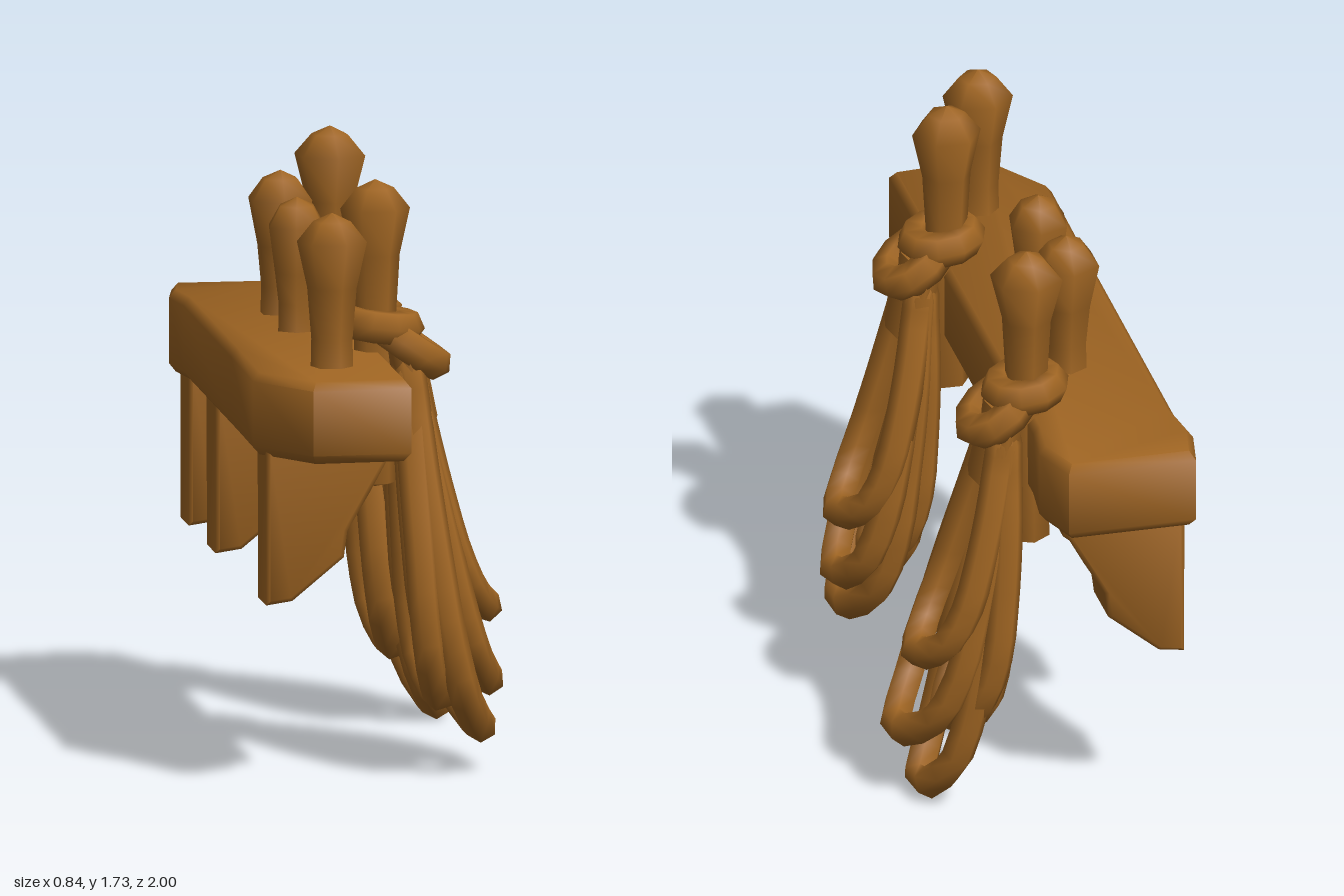
import * as THREE from 'three';
import { toCreasedNormals } from 'three/addons/utils/BufferGeometryUtils.js';

const wood = new THREE.MeshStandardMaterial({ color: 0x9e6422 });
wood.name = 'brown wood';

function add(parent, name, geometry, x = 0, y = 0, z = 0) {
  const mesh = new THREE.Mesh(geometry, wood);
  mesh.name = name;
  mesh.position.set(x, y, z);
  parent.add(mesh);
  return mesh;
}

function polygon(points) {
  return new THREE.Shape(points.map(([x, y]) => new THREE.Vector2(x, y)));
}

// Long rail with worn, cut-off corners
function makeRail(group) {
  const outline = polygon([
    [-0.27, -0.98], [-0.01, -0.96], [-0.01, 0.72], [0.005, 0.85], [-0.04, 0.98],
    [-0.39, 0.98], [-0.415, 0.85], [-0.395, 0.7], [-0.4, -0.3], [-0.405, -0.77],
  ]);
  const geo = new THREE.ExtrudeGeometry(outline, {
    depth: 0.19, bevelEnabled: true, bevelSize: 0.02, bevelThickness: 0.025, bevelSegments: 1,
  });
  geo.rotateX(-Math.PI / 2);
  add(group, 'rail', toCreasedNormals(geo, 0.9), 0, 1.025, 0);
}

// Curved support under the rail, spanning zMin to zMax
function makeBracket(group, zMin, zMax) {
  const side = polygon([
    [-0.38, 1.02], [-0.38, 0.575], [-0.32, 0.585], [-0.175, 0.705],
    [-0.165, 0.78], [-0.1, 0.89], [-0.04, 1.0], [-0.04, 1.02],
  ]);
  const bevel = 0.012;
  const geo = new THREE.ExtrudeGeometry(side, {
    depth: zMax - zMin - 2 * bevel, bevelEnabled: true, bevelSize: bevel, bevelThickness: bevel, bevelSegments: 1,
  });
  add(group, 'bracket', toCreasedNormals(geo, 0.9), 0, 0, zMin + bevel);
}

// Turned pin with a flared, faceted head
function makePin(group, x, z, top, headRadius, bottom, turn) {
  const profile = [
    [0, bottom], [0.068, bottom + 0.015], [0.062, 1.23], [0.06, 1.32],
    [0.072, top - 0.22], [headRadius, top - 0.085], [0.055, top - 0.025], [0, top],
  ].map(([r, y]) => new THREE.Vector2(r, y));
  const pin = add(group, 'pin', new THREE.LatheGeometry(profile, 6), x, 0, z);
  pin.rotation.y = turn;
}

// One hanging loop of rope: its sides sit nearer the rail than its bottom by "pull"
function makeLoop(group, pinZ, [bottom, zMax, zMin, xBottom, top, pull]) {
  const stations = [[0.03, 0.12], [0.15, 0.34], [0.32, 0.63], [0.55, 0.9], [0.75, 1], [0.91, 0.72]];
  const middle = (zMax + zMin) / 2;
  const half = (zMax - zMin) / 2 - 0.048;
  const at = (down, width, side) => new THREE.Vector3(
    THREE.MathUtils.lerp(0.08, xBottom, down) - pull * width,
    THREE.MathUtils.lerp(top, bottom + 0.048, down),
    THREE.MathUtils.lerp(pinZ, middle, Math.min(1, down * 1.6)) + side * THREE.MathUtils.lerp(0.04, half, width)
  );
  const points = [
    ...stations.map(([d, w]) => at(d, w, 1)),
    at(1, 0, 0),
    ...stations.reverse().map(([d, w]) => at(d, w, -1)),
  ];
  const curve = new THREE.CatmullRomCurve3(points, true);
  add(group, 'ropeLoop', new THREE.TubeGeometry(curve, 30, 0.048, 6, true));
}

// Rope coil hung on a pin: knot turns, gathered neck and hanging loops
function makeCoil(group, pinZ, loops) {
  const coil = new THREE.Group();
  coil.name = 'ropeCoil';
  group.add(coil);
  const turns = [[0.005, 1.315, 0.08, -0.12], [0.09, 1.25, 0.09, -0.6]];
  for (const [x, y, radius, tilt] of turns) {
    const ring = new THREE.TorusGeometry(radius, 0.052, 6, 10);
    ring.rotateX(Math.PI / 2);
    add(coil, 'ropeTurn', ring, x, y, pinZ).rotation.z = tilt;
  }
  const neck = add(coil, 'ropeNeck', new THREE.CylinderGeometry(0.06, 0.06, 0.24, 8), 0.09, 1.15, pinZ);
  neck.rotation.z = 0.2;
  neck.scale.z = 1.9;
  for (const loop of loops) makeLoop(coil, pinZ, loop);
}

export function createModel() {
  const group = new THREE.Group();
  group.name = 'pinRail';

  makeRail(group);
  for (const [zMin, zMax] of [[0.63, 0.82], [-0.4, -0.2], [-0.93, -0.74]]) makeBracket(group, zMin, zMax);

  // Pins in the rail, then the two rope-carrying pins at its edge
  makePin(group, -0.18, 0.68, 1.69, 0.102, 1.22, 0.3);
  makePin(group, -0.18, -0.03, 1.63, 0.092, 1.22, 0.9);
  makePin(group, -0.18, -0.36, 1.66, 0.1, 1.22, 0);
  makePin(group, -0.01, 0.38, 1.74, 0.102, 0.84, 0.5);
  makePin(group, 0.0, -0.6, 1.75, 0.107, 0.82, 0.1);

  // Each loop: bottom height, z range, x at the bottom, top height, pull of the sides
  makeCoil(group, 0.38, [
    [0.09, 0.7, 0.2, 0.29, 1.24, 0.06],
    [0.19, 0.71, 0.3, 0.16, 1.22, 0.04],
    [0.22, 0.6, 0.17, 0.32, 1.2, 0.04],
    [0.43, 0.55, 0.16, 0.32, 1.22, 0.05],
    [0.25, 0.65, 0.24, 0.2, 1.22, 0.07],
  ]);
  makeCoil(group, -0.6, [
    [0.0, -0.36, -0.77, 0.31, 1.24, 0.06],
    [0.17, -0.28, -0.78, 0.37, 1.22, 0.07],
    [0.19, -0.31, -0.72, 0.17, 1.2, 0.04],
    [0.45, -0.42, -0.8, 0.33, 1.22, 0.05],
    [0.22, -0.36, -0.8, 0.24, 1.22, 0.07],
  ]);
  return group;
}
